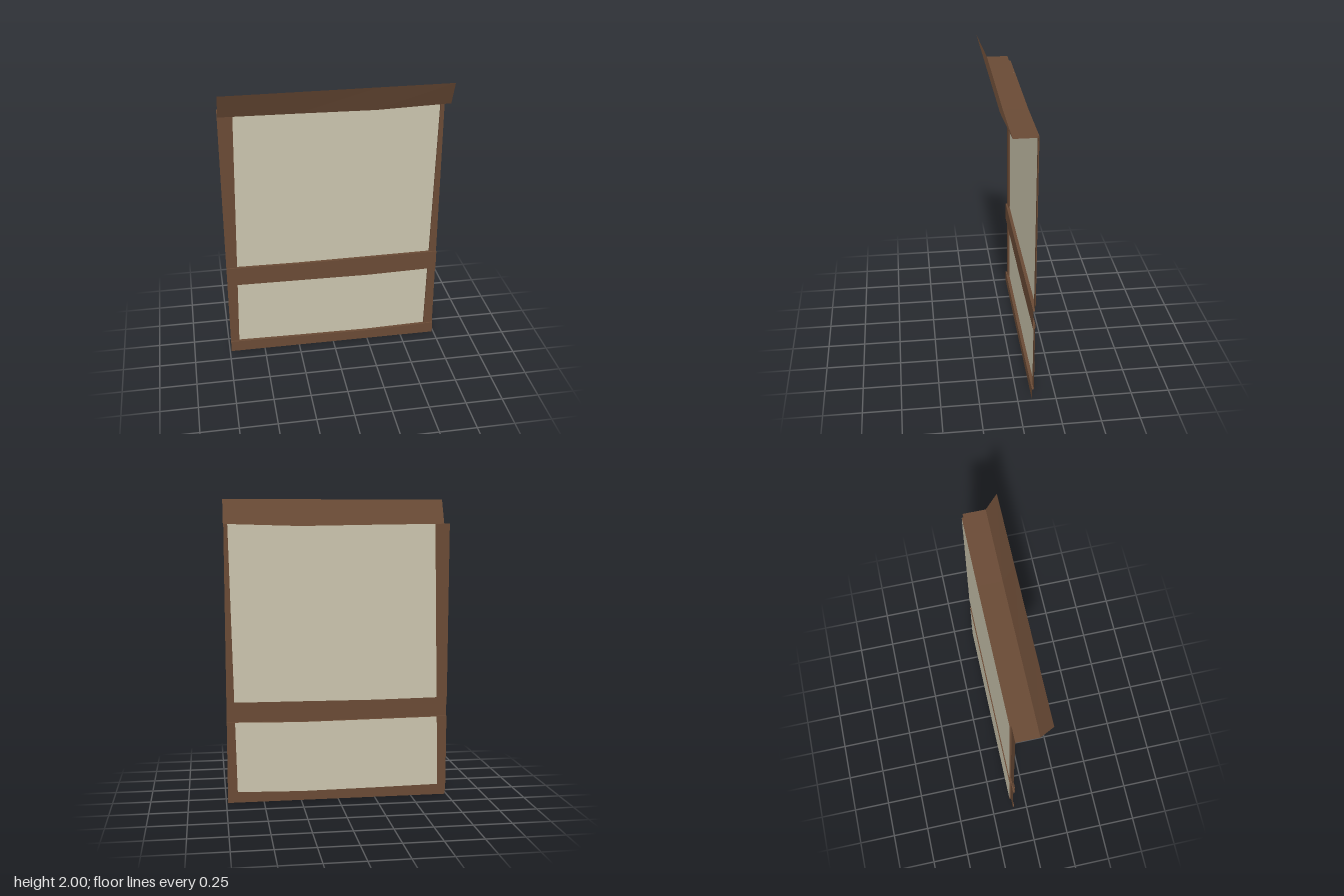
import * as THREE from 'three';

const W = 0.74;
const Z = { rail: -0.093, stile: -0.104, panel: -0.115, fold: 0.04, tip: 0.111 };
const wood = new THREE.MeshStandardMaterial({ color: 0x694a35, side: THREE.DoubleSide });
const plaster = new THREE.MeshStandardMaterial({ color: 0xc9c3ac, side: THREE.DoubleSide });

// Hand-hewn edges: heights at four stations across the width
const STATIONS = [-W, -0.25, 0.25, W];
const EDGE = {
  ground: [0, 0, 0, 0],
  sill: [0.08, 0.073, 0.068, 0.08],
  railBottom: [0.55, 0.545, 0.54, 0.55],
  railTop: [0.683, 0.677, 0.68, 0.683],
  lintel: [1.84, 1.834, 1.826, 1.84],
  crest: [2, 2, 2, 2],
};

function heightAt(edge, x) {
  let i = 0;
  while (i < 2 && x > STATIONS[i + 1]) i++;
  const t = (x - STATIONS[i]) / (STATIONS[i + 1] - STATIONS[i]);
  return THREE.MathUtils.lerp(edge[i], edge[i + 1], t);
}

// Points along an edge from x0 to x1 at depth z
function line(edge, x0, x1, z) {
  const xs = [x0, ...STATIONS.filter((x) => x > x0 + 0.01 && x < x1 - 0.01), x1];
  return xs.map((x) => [x, heightAt(edge, x), z]);
}

// Surface between two point rows of equal length
function strip(name, a, b, material) {
  const g = new THREE.BufferGeometry();
  const index = [];
  for (let i = 0; i < a.length - 1; i++) {
    const n = a.length + i;
    index.push(i, i + 1, n + 1, i, n + 1, n);
  }
  g.setAttribute('position', new THREE.Float32BufferAttribute([...a, ...b].flat(), 3));
  g.setIndex(index);
  const flat = g.toNonIndexed();
  flat.computeVertexNormals();
  const mesh = new THREE.Mesh(flat, material);
  mesh.name = name;
  return mesh;
}

// Inner faces of the posts lean slightly
const innerLeft = (y) => 0.675 + 0.04 * (y - 0.08) / 1.76;
const innerRight = (y) => -0.68 + 0.04 * (y - 0.08) / 1.76;

// One bay: two posts, the recessed infill and the reveals around it
function bay(name, lower, upper) {
  const group = new THREE.Group();
  group.name = name;
  const [y0, y1] = [lower[0], upper[0]];
  const low = (z) => line(lower, innerRight(y0), innerLeft(y0), z);
  const high = (z) => line(upper, innerRight(y1), innerLeft(y1), z);
  group.add(strip('infillPanel', low(Z.panel), high(Z.panel), plaster));
  group.add(strip('lowerReveal', low(Z.stile), low(Z.panel), wood));
  group.add(strip('upperReveal', high(Z.panel), high(Z.stile), wood));
  for (const [side, inner, s] of [['left', innerLeft, 1], ['right', innerRight, -1]]) {
    const ends = (f) => s > 0 ? [f, W] : [-W, f];
    group.add(strip(side + 'Post',
      line(lower, ...ends(inner(y0)), Z.stile),
      line(upper, ...ends(inner(y1)), Z.stile), wood));
    const jamb = (z) => [[lower, y0], [upper, y1]].map(
      ([e, y]) => [inner(y), heightAt(e, inner(y)), z]);
    group.add(strip(side + 'Reveal', jamb(Z.stile), jamb(Z.panel), wood));
  }
  return group;
}

export function createModel() {
  const model = new THREE.Group();
  model.name = 'framedWallPanel';
  const full = (edge, z) => line(edge, -W, W, z);
  const sheet = (name, e0, z0, e1, z1) =>
    model.add(strip(name, full(e0, z0), full(e1, z1), wood));

  // Bottom and middle rails with the lips returning to the posts
  sheet('bottomRail', EDGE.ground, Z.rail, EDGE.sill, Z.rail);
  sheet('bottomRailLip', EDGE.sill, Z.rail, EDGE.sill, Z.stile);
  sheet('middleRail', EDGE.railBottom, Z.rail, EDGE.railTop, Z.rail);
  sheet('middleRailUpperLip', EDGE.railTop, Z.rail, EDGE.railTop, Z.stile);
  sheet('middleRailLowerLip', EDGE.railBottom, Z.stile, EDGE.railBottom, Z.rail);

  // Soffit running forward, then the fascia leaning out
  sheet('soffit', EDGE.lintel, Z.fold, EDGE.lintel, Z.stile);
  sheet('fascia', EDGE.lintel, Z.fold, EDGE.crest, Z.tip);

  model.add(bay('lowerBay', EDGE.sill, EDGE.railBottom));
  model.add(bay('upperBay', EDGE.railTop, EDGE.lintel));
  return model;
}
